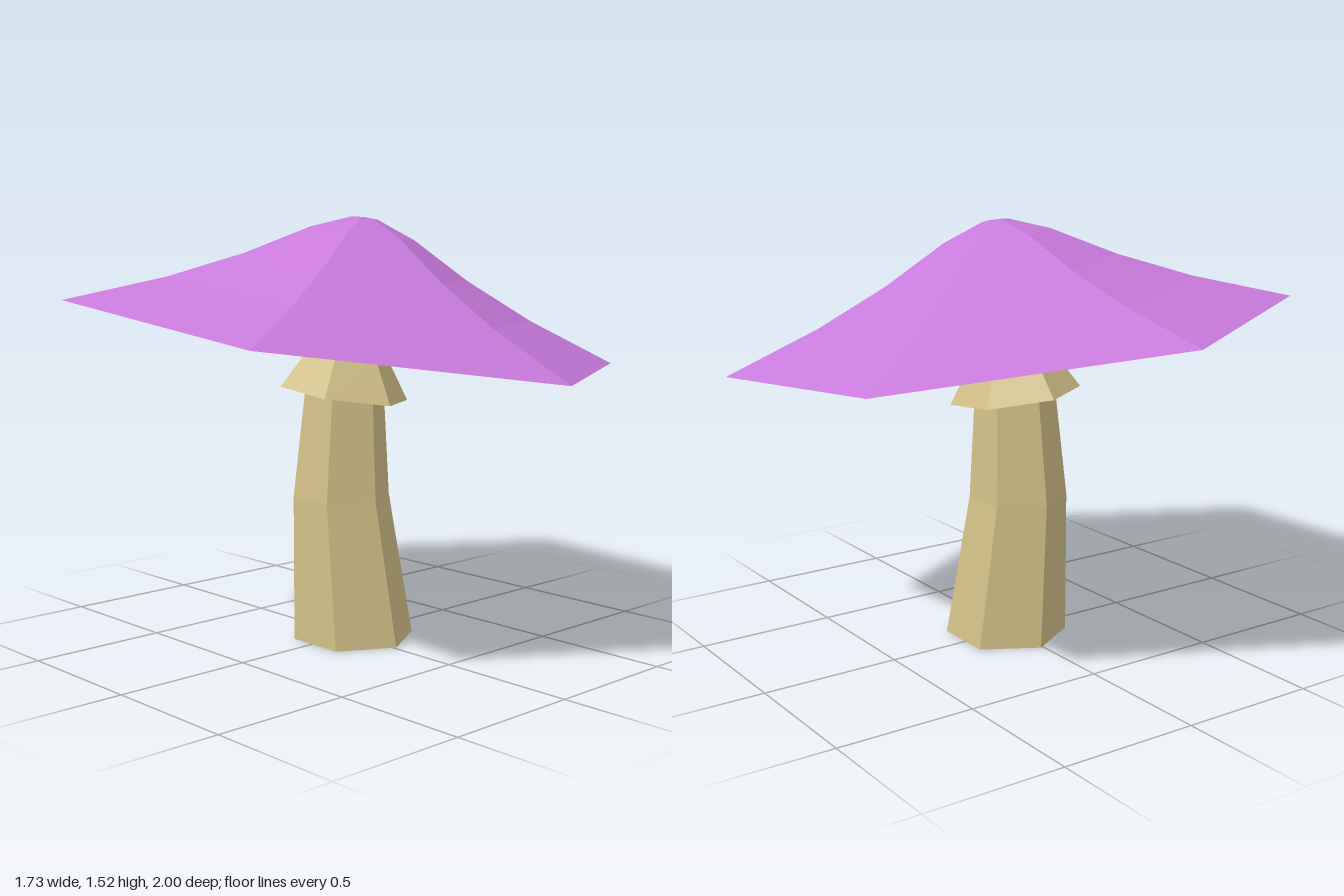
import * as THREE from 'three';

const SIDES = 6;
// Shared lean of the cap and the collar: height change per unit of x and z
const LEAN_X = -0.09, LEAN_Z = -0.105;

// Faceted skin over hexagonal rings [radius, y, centreX, centreZ], listed along the outward profile
function loft(rings, lean) {
  const corner = ([r, y, cx, cz], i) => {
    const a = (i / SIDES) * Math.PI * 2;
    const dx = r * Math.sin(a), dz = r * Math.cos(a);
    return [cx + dx, y + (lean ? LEAN_X * dx + LEAN_Z * dz : 0), cz + dz];
  };
  const pos = [];
  for (let k = 0; k < rings.length - 1; k++) {
    const low = rings[k], high = rings[k + 1];
    for (let i = 0; i < SIDES; i++) {
      const a = corner(low, i), b = corner(low, i + 1);
      const c = corner(high, i + 1), d = corner(high, i);
      if (low[0] > 0) pos.push(...a, ...b, ...c);
      if (high[0] > 0) pos.push(...a, ...c, ...d);
    }
  }
  const geo = new THREE.BufferGeometry();
  geo.setAttribute('position', new THREE.Float32BufferAttribute(pos, 3));
  geo.computeVertexNormals(); // unshared corners keep the facets flat
  return geo;
}

export function createModel() {
  const capPurple = new THREE.MeshStandardMaterial({ color: 0xc87adb, flatShading: true });
  const stemTan = new THREE.MeshStandardMaterial({ color: 0xd2c088, flatShading: true, side: THREE.DoubleSide });
  capPurple.name = 'capPurple';
  stemTan.name = 'stemTan';

  const model = new THREE.Group();
  model.name = 'mushroom';
  const add = (name, geo, material) => {
    const mesh = new THREE.Mesh(geo, material);
    mesh.name = name;
    model.add(mesh);
  };

  // Bent hollow stem, open at the foot
  add('stem', loft([
    [0.22, 0, 0.01, 0.015],
    [0.176, 0.52, -0.022, -0.015],
    [0.146, 0.88, -0.015, -0.007],
    [0.135, 1.03, -0.01, 0],
  ], false), stemTan);

  // Flared collar below the cap, closed underneath
  add('collar', loft([
    [0.13, 0.89, -0.015, -0.007],
    [0.232, 0.89, -0.015, -0.007],
    [0.14, 1.04, -0.005, 0.002],
  ], true), stemTan);

  // Leaning cap: shallow underside, rim, then the bell profile up to the tip
  const profile = [[0, -0.09], [1, 0], [0.66, 0.12], [0.405, 0.233], [0.187, 0.352], [0.046, 0.405], [0, 0.408]];
  add('cap', loft(profile.map(([r, h]) => {
    const rise = Math.max(h, 0);
    return [r, 1.105 + h, -LEAN_X * rise, -LEAN_Z * rise];
  }), true), capPurple);

  return model;
}
